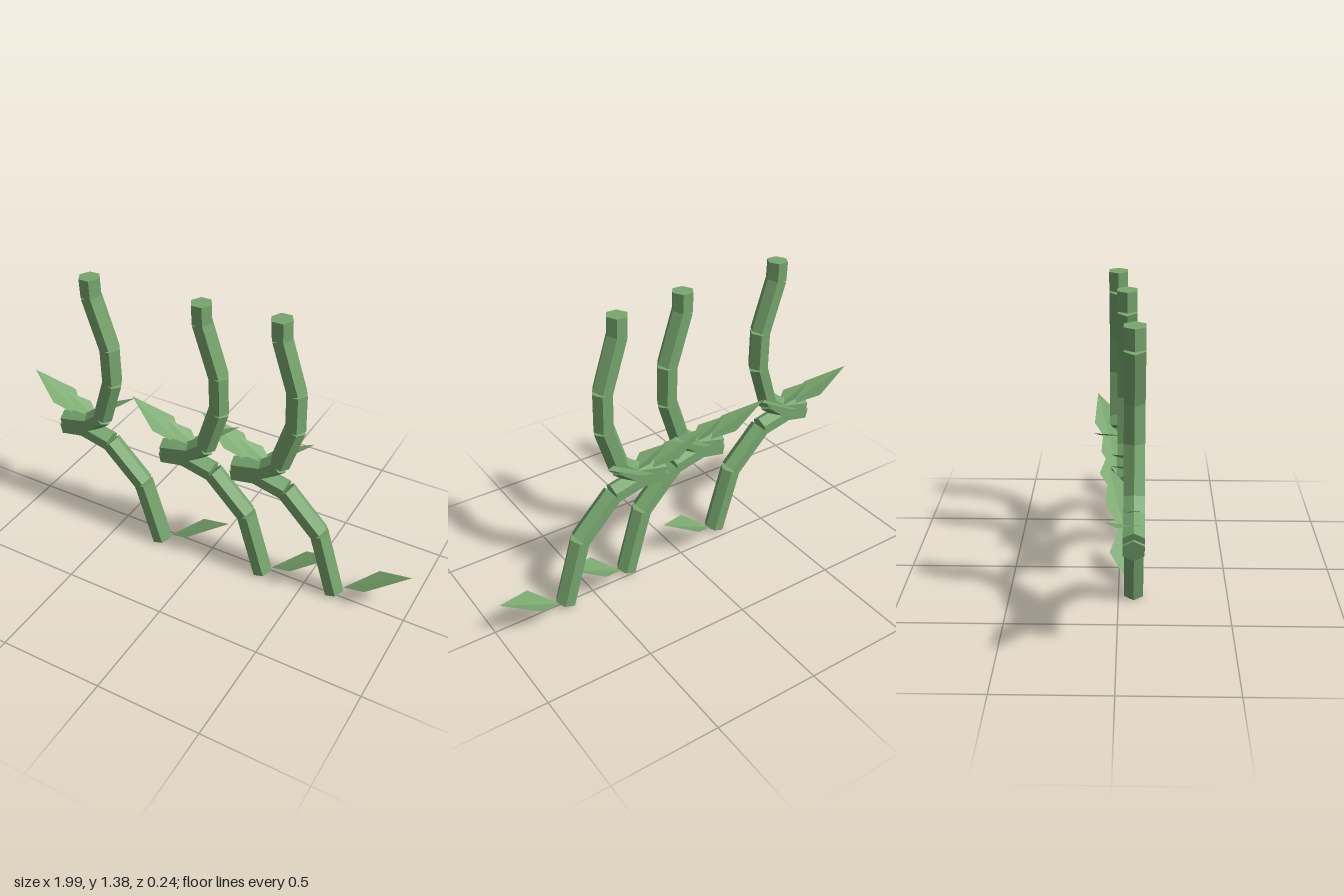
import * as THREE from 'three';

const green = new THREE.MeshStandardMaterial({ color: 0x78a76f });
green.name = 'stemGreen';
const leafGreen = new THREE.MeshStandardMaterial({ color: 0x7aa970, side: THREE.DoubleSide });
leafGreen.name = 'leafGreen';
green.flatShading = leafGreen.flatShading = true;

const RADIUS = 0.05;

// Hexagonal stem piece between two points in the xy plane, flat sides facing front and back
function stemPiece(name, [x1, y1], [x2, y2]) {
  const dx = x2 - x1, dy = y2 - y1;
  const geo = new THREE.CylinderGeometry(RADIUS, RADIUS, Math.hypot(dx, dy), 6, 1, false, Math.PI / 6);
  const mesh = new THREE.Mesh(geo, green);
  mesh.name = name;
  mesh.position.set((x1 + x2) / 2, (y1 + y2) / 2, 0);
  mesh.rotation.z = Math.atan2(-dx, dy);
  return mesh;
}

// Diamond leaf folded along the rib from base to tip
function leaf(name, base, back, tip, front) {
  const geo = new THREE.BufferGeometry();
  const corners = [base, tip, back, base, front, tip].flat();
  geo.setAttribute('position', new THREE.Float32BufferAttribute(corners, 3));
  geo.computeVertexNormals();
  const mesh = new THREE.Mesh(geo, leafGreen);
  mesh.name = name;
  return mesh;
}

function vine() {
  const g = new THREE.Group();

  // Upper stem, from the top down to the knot
  const upper = [[-0.578, 1.38], [-0.575, 1.29], [-0.495, 1.046], [-0.492, 0.864], [-0.559, 0.65], [-0.687, 0.548]];
  // Lower stem, from the knot down to the foot
  const lower = [[-0.67, 0.548], [-0.522, 0.513], [-0.345, 0.334], [-0.249, 0.016]];
  for (const [name, path] of [['upperStem', upper], ['lowerStem', lower]]) {
    for (let i = 0; i + 1 < path.length; i++) g.add(stemPiece(name, path[i], path[i + 1]));
  }

  // Short stubs that form the knot
  g.add(stemPiece('knotStub', [-0.78, 0.559], [-0.62, 0.596]));
  g.add(stemPiece('knotStub', [-0.785, 0.525], [-0.66, 0.55]));

  // Leaves: one at the foot, three at the knot
  g.add(leaf('footLeaf', [-0.21, 0.035, -0.02], [-0.075, 0.125, -0.115], [0.095, 0.205, -0.06], [-0.085, 0.125, 0.05]));
  g.add(leaf('outerLeaf', [-0.68, 0.585, -0.01], [-0.8, 0.66, -0.115], [-0.998, 0.74, -0.065], [-0.825, 0.66, 0.035]));
  g.add(leaf('innerLeaf', [-0.74, 0.56, -0.03], [-0.615, 0.64, -0.115], [-0.44, 0.73, -0.105], [-0.6, 0.64, 0.045]));
  g.add(leaf('smallLeaf', [-0.6, 0.6, -0.02], [-0.68, 0.655, -0.07], [-0.79, 0.7, -0.03], [-0.69, 0.655, 0.035]));
  return g;
}

export function createModel() {
  const model = new THREE.Group();
  model.name = 'vines';
  [[0, 0.07], [0.543, 0.035], [0.897, -0.009]].forEach(([x, z], i) => {
    const v = vine();
    v.name = ['rightVine', 'middleVine', 'leftVine'][i];
    v.position.set(x, 0, z);
    model.add(v);
  });
  return model;
}
